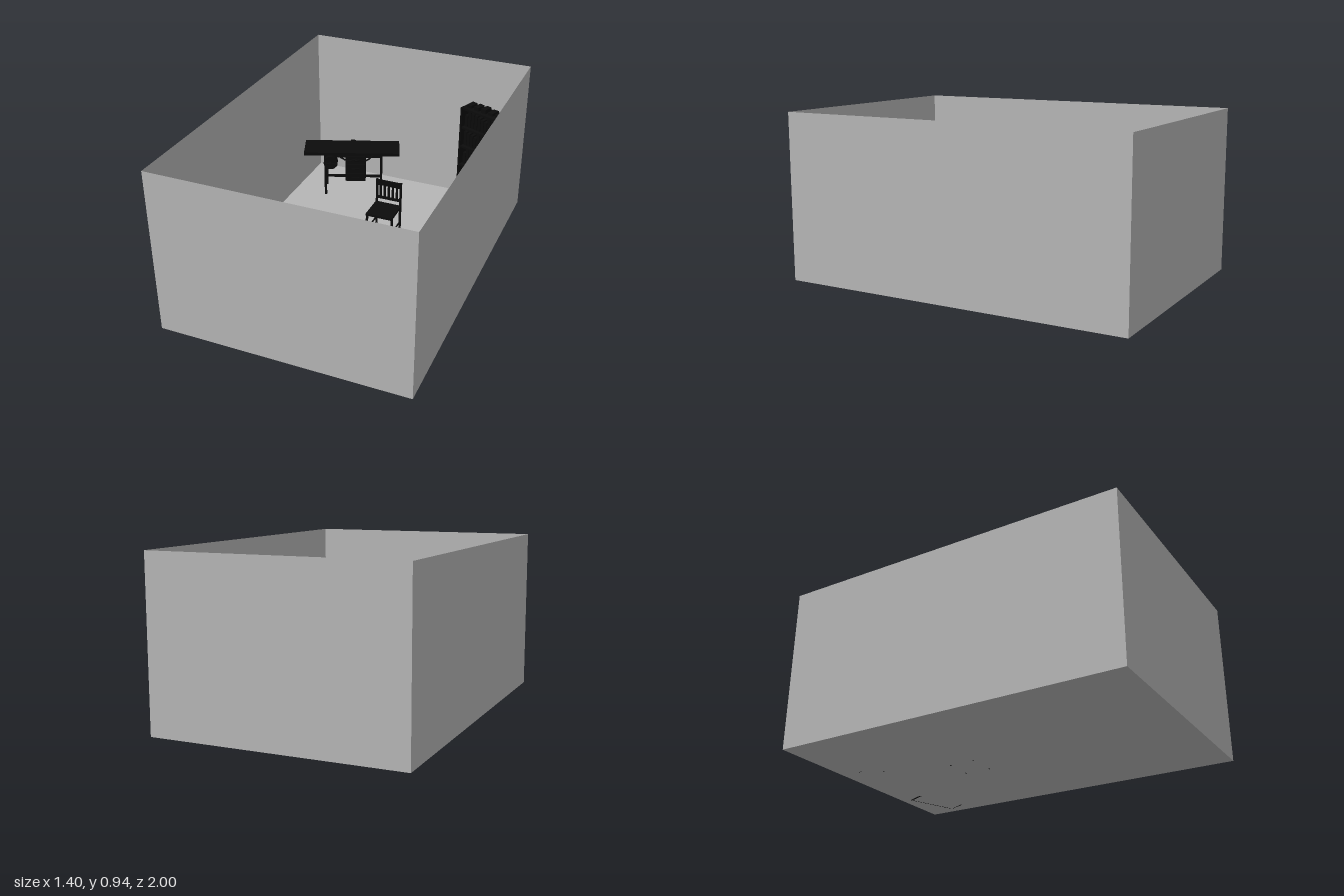
import * as THREE from 'three';

const wallMat = new THREE.MeshStandardMaterial({ name: 'plainGrey', color: 0xb6b6b6, side: THREE.DoubleSide });
const darkMat = new THREE.MeshStandardMaterial({ name: 'nearBlack', color: 0x0b0b0b });

function add(parent, name, geo, mat, x, y, z) {
  const m = new THREE.Mesh(geo, mat);
  m.name = name;
  m.position.set(x, y, z);
  parent.add(m);
  return m;
}
const box = (p, name, w, h, d, x, y, z) => add(p, name, new THREE.BoxGeometry(w, h, d), darkMat, x, y, z);

// round bar between two points
function bar(p, name, a, b, r) {
  const A = new THREE.Vector3(...a), B = new THREE.Vector3(...b);
  const m = add(p, name, new THREE.CylinderGeometry(r, r, A.distanceTo(B), 8), darkMat, 0, 0, 0);
  m.position.copy(A).add(B).multiplyScalar(0.5);
  m.quaternion.setFromUnitVectors(new THREE.Vector3(0, 1, 0), B.sub(A).normalize());
  return m;
}

function group(parent, name, x, z, turn) {
  const g = new THREE.Group();
  g.name = name;
  g.position.set(x, 0, z);
  g.rotation.y = turn;
  parent.add(g);
  return g;
}

// open-topped room of thin sheets
function buildRoom(root) {
  const W = 1.4, D = 2, H = 0.94;
  const room = group(root, 'room', 0, 0, 0);
  add(room, 'floor', new THREE.PlaneGeometry(W, D), wallMat, 0, 0, 0).rotation.x = -Math.PI / 2;
  for (const s of [-1, 1]) {
    add(room, s > 0 ? 'frontWall' : 'backWall', new THREE.PlaneGeometry(W, H), wallMat, 0, H / 2, s * D / 2)
      .rotation.y = s > 0 ? 0 : Math.PI;
    add(room, s > 0 ? 'leftWall' : 'rightWall', new THREE.PlaneGeometry(D, H), wallMat, s * W / 2, H / 2, 0)
      .rotation.y = s * Math.PI / 2;
  }
}

// work table with trestle legs, middle drawers and a front clamp
function buildTable(root) {
  const t = group(root, 'workTable', -0.355, -0.745, 0.368);
  box(t, 'tableTop', 0.611, 0.02, 0.18, 0, 0.303, 0);
  for (const x of [-0.17, 0.19]) {
    for (const z of [-0.07, 0.07]) box(t, 'tableLeg', 0.015, 0.293, 0.015, x, 0.1465, z);
    box(t, 'sideStretcher', 0.012, 0.015, 0.13, x, 0.1, 0);
    box(t, 'sideRail', 0.012, 0.02, 0.13, x, 0.28, 0);
  }
  for (const z of [-0.07, 0.07]) box(t, 'longRail', 0.36, 0.02, 0.01, 0.01, 0.283, z);
  box(t, 'longStretcher', 0.36, 0.015, 0.012, 0.01, 0.1, 0);
  box(t, 'drawerBlock', 0.13, 0.19, 0.14, 0.025, 0.2, 0.01);
  for (let i = 0; i < 3; i++) {
    box(t, 'drawerFront', 0.118, 0.052, 0.008, 0.025, 0.138 + i * 0.062, 0.083);
    bar(t, 'drawerPull', [0, 0.138 + i * 0.062, 0.095], [0.05, 0.138 + i * 0.062, 0.095], 0.004);
  }
  // hanging wheel clamp
  const wheel = add(t, 'clampWheel', new THREE.CylinderGeometry(0.045, 0.045, 0.04, 20), darkMat, -0.135, 0.245, 0.08);
  wheel.rotation.x = Math.PI / 2;
  bar(t, 'clampScrew', [-0.135, 0.245, 0], [-0.135, 0.245, 0.115], 0.01);
  bar(t, 'clampHandle', [-0.18, 0.25, 0.112], [-0.09, 0.24, 0.112], 0.005);
  // cable drooping along the front, and a small stub behind
  const path = new THREE.CatmullRomCurve3([
    [-0.09, 0.3, 0.1], [-0.02, 0.27, 0.115], [0.03, 0.285, 0.12], [0.09, 0.27, 0.11], [0.14, 0.3, 0.09],
  ].map(p => new THREE.Vector3(...p)));
  add(t, 'cable', new THREE.TubeGeometry(path, 24, 0.005, 6), darkMat, 0, 0, 0);
  box(t, 'rearStub', 0.03, 0.03, 0.035, 0.005, 0.29, -0.1);
}

// upright slatted chair, back towards -z
function buildChair(root) {
  const c = group(root, 'chair', 0.043, -0.295, 0);
  box(c, 'seat', 0.165, 0.014, 0.165, 0, 0.175, 0.003);
  for (const s of [-1, 1]) {
    bar(c, 'frontLeg', [s * 0.083, 0, 0.078], [s * 0.078, 0.17, 0.072], 0.008);
    bar(c, 'backPost', [s * 0.076, 0, -0.075], [s * 0.076, 0.335, -0.083], 0.008);
    bar(c, 'sideRung', [s * 0.08, 0.07, 0.075], [s * 0.076, 0.07, -0.077], 0.005);
  }
  bar(c, 'frontRung', [-0.08, 0.09, 0.075], [0.08, 0.09, 0.075], 0.005);
  box(c, 'topRail', 0.15, 0.035, 0.01, 0, 0.315, -0.082);
  box(c, 'lowerRail', 0.15, 0.015, 0.01, 0, 0.215, -0.079);
  for (let i = -2; i <= 2; i++) box(c, 'backSlat', 0.012, 0.09, 0.006, i * 0.026, 0.26, -0.08);
}

// tall bookcase with filled shelves
function buildBookcase(root) {
  const b = group(root, 'bookcase', 0.49, -0.84, -0.39);
  const W = 0.31, D = 0.11, H = 0.67;
  for (const s of [-1, 1]) box(b, 'sidePanel', 0.012, H, D, s * (W / 2 - 0.006), H / 2, 0);
  box(b, 'backPanel', W - 0.02, H, 0.006, 0, H / 2, -D / 2 + 0.003);
  for (let i = 0; i <= 5; i++) box(b, 'shelf', W - 0.02, 0.012, D - 0.005, 0, 0.02 + i * 0.129, 0);
  for (let row = 0; row < 5; row++) {
    for (let i = 0; i < 11; i++) {
      const h = 0.075 + 0.006 * ((i * 5 + row * 3) % 6);
      box(b, 'book', 0.02, h, 0.075, -0.126 + i * 0.0245, 0.026 + row * 0.129 + h / 2, -0.008);
    }
  }
  // low items on top
  for (let i = 0; i < 5; i++) box(b, 'topItem', 0.035, 0.018 + 0.006 * (i % 3), 0.06, -0.11 + i * 0.054, 0.682, 0);
}

export function createModel() {
  const root = new THREE.Group();
  root.name = 'furnishedRoom';
  buildRoom(root);
  buildTable(root);
  buildChair(root);
  buildBookcase(root);
  return root;
}
